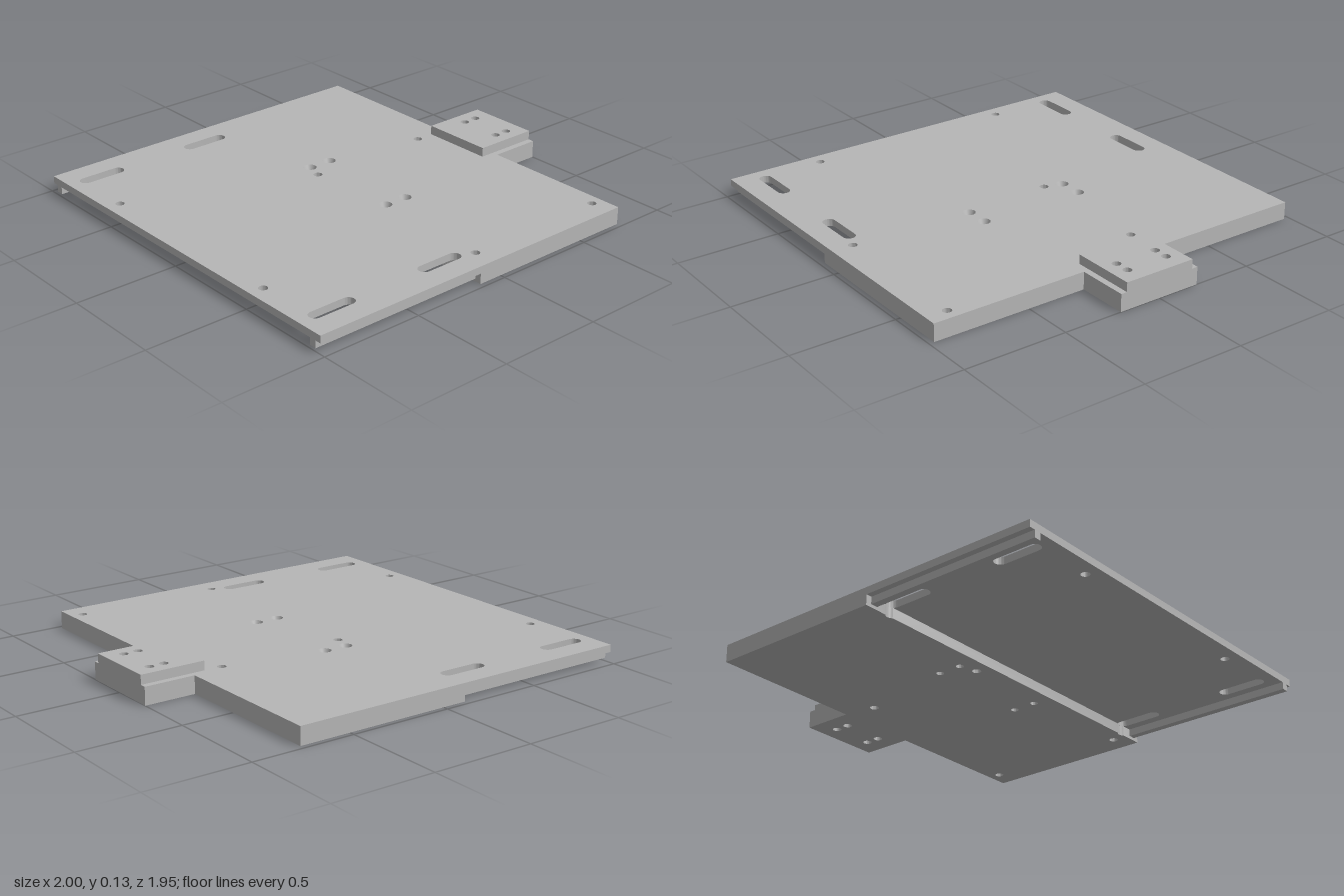
import * as THREE from 'three';
import { toCreasedNormals } from 'three/addons/utils/BufferGeometryUtils.js';

const TOP = 0.085, STEP = 0.05, STEP_X = -0.12;
const SLOT_Z = 0.835, SLOT_R = 0.03;
const SINK_R = 0.031, BORE_R = 0.018;

export function createModel() {
  const group = new THREE.Group();
  const grey = new THREE.MeshStandardMaterial({ color: 0xb6b6b6, side: THREE.DoubleSide });
  grey.name = 'machined grey';

  const add = (name, geometry) => {
    const mesh = new THREE.Mesh(geometry, grey);
    mesh.name = name;
    group.add(mesh);
    return mesh;
  };

  // Extrude a plan outline (x, -z) upward between two heights
  const slab = (name, shape, y0, y1) => {
    const g = new THREE.ExtrudeGeometry(shape, { depth: y1 - y0, bevelEnabled: false, curveSegments: 12 });
    g.rotateX(-Math.PI / 2).translate(0, y0, 0);
    return add(name, toCreasedNormals(g, 0.6));
  };

  const drill = (shape, points, r) => {
    for (const [x, z] of points) {
      shape.holes.push(new THREE.Path().absarc(x, -z, r, 0, Math.PI * 2, true));
    }
  };

  const cutSlot = (shape, x0, x1, z) => {
    const p = new THREE.Path();
    p.absarc(x0 + SLOT_R, -z, SLOT_R, Math.PI * 1.5, Math.PI * 0.5, true);
    p.absarc(x1 - SLOT_R, -z, SLOT_R, Math.PI * 0.5, -Math.PI * 0.5, true);
    p.closePath();
    shape.holes.push(p);
  };

  // Plate outline with the tab on its left edge
  const outline = (xMin) => {
    const s = new THREE.Shape();
    s.moveTo(xMin, -0.975);
    s.lineTo(0.75, -0.975);
    s.lineTo(0.75, -0.21);
    s.lineTo(1, -0.21);
    s.lineTo(1, 0.21);
    s.lineTo(0.75, 0.21);
    s.lineTo(0.75, 0.975);
    s.lineTo(xMin, 0.975);
    return s;
  };

  // Hole positions as [x, z]
  const edgeHoles = [[-0.93, -0.525], [-0.93, 0.525]];
  const bodyHoles = [[-0.05, -0.18], [0.59, -0.18], [-0.05, 0.87], [0.69, 0.87]];
  const tabHoles = [], sinks = [];
  for (const side of [-1, 1]) {
    for (const x of [0.84, 0.912]) tabHoles.push([x, side * 0.107]);
    for (const x of [-0.025, 0.093]) sinks.push([x, side * 0.268]);
  }

  // Full upper plate with slots
  const upper = outline(-1);
  drill(upper, [...edgeHoles, ...bodyHoles, ...tabHoles], 0.021);
  drill(upper, sinks, SINK_R);
  for (const side of [-1, 1]) {
    cutSlot(upper, -0.94, -0.705, side * SLOT_Z);
    cutSlot(upper, -0.345, -0.11, side * SLOT_Z);
  }
  slab('upperPlate', upper, STEP, TOP);

  // Thick lower part, notched where the inner slots reach it
  const lower = outline(STEP_X);
  const cx = -0.11 - SLOT_R;
  const a = Math.acos((STEP_X - cx) / SLOT_R);
  for (const side of [1, -1]) lower.absarc(cx, side * SLOT_Z, SLOT_R, a, -a, true);
  lower.closePath();
  drill(lower, [...bodyHoles, ...tabHoles], 0.021);
  drill(lower, sinks, BORE_R);
  slab('lowerPlate', lower, 0, STEP);

  // Countersunk cones
  for (const [x, z] of sinks) {
    const profile = [new THREE.Vector2(BORE_R, STEP), new THREE.Vector2(SINK_R, TOP)];
    add('countersink', new THREE.LatheGeometry(profile.reverse(), 24)).position.set(x, 0, z);
  }

  // Raised pad on the tab
  const pad = new THREE.Shape();
  pad.moveTo(0.68, -0.18);
  pad.lineTo(1, -0.18);
  pad.lineTo(1, 0.18);
  pad.lineTo(0.68, 0.18);
  pad.closePath();
  drill(pad, tabHoles, 0.021);
  slab('tabPad', pad, TOP, 0.13);

  // Guide rails under the thin part, set in from the edges
  const length = STEP_X + 1;
  for (const side of [-1, 1]) {
    add('guideRail', new THREE.BoxGeometry(length, 0.035, 0.035))
      .position.set(-1 + length / 2, STEP - 0.0175, side * 0.928);
  }

  return group;
}
